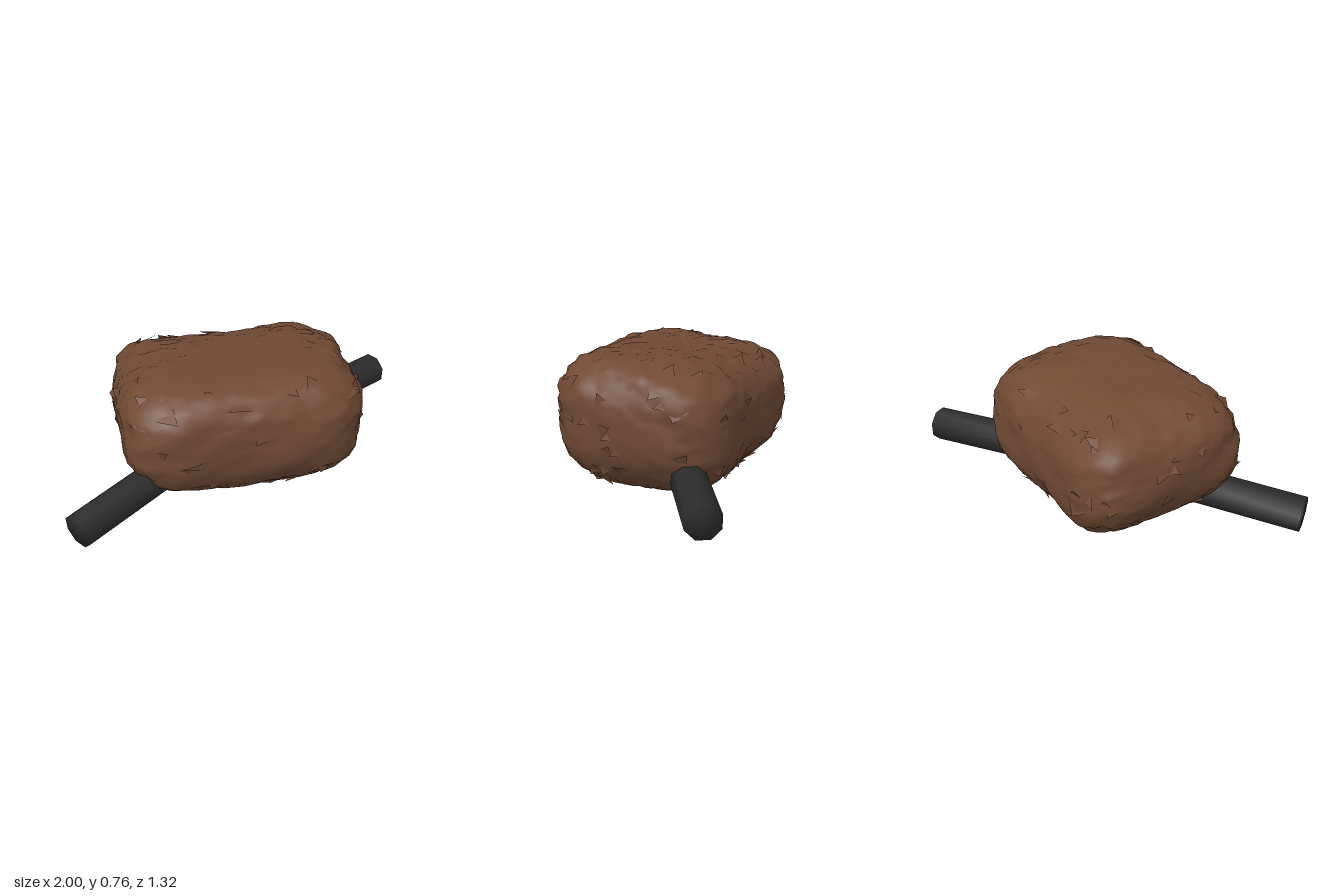
import * as THREE from 'three';
import { mergeVertices } from 'three/addons/utils/BufferGeometryUtils.js';

const UP = new THREE.Vector3(0, 1, 0);

// Small seeded random number generator
function seeded(seed) {
  let s = seed;
  return () => (s = (s * 16807) % 2147483647) / 2147483647;
}

// Welds a geometry so its normals run smoothly over every edge
function weld(geometry) {
  geometry.deleteAttribute('normal');
  geometry.deleteAttribute('uv');
  return mergeVertices(geometry, 1e-4);
}

// Distance from the centre to a rounded block surface along direction d (unit block)
function blockRadius(d) {
  const m = d.y > 0 ? 3.7 : 2.2; // fuller top, tapering underside
  const n = d.x > 0 ? 3.6 : 4.3; // left end a little rounder
  const flat = Math.pow(Math.abs(d.x) ** n + Math.abs(d.z) ** n, 1 / n);
  return Math.pow(flat ** m + Math.abs(d.y) ** m, -1 / m);
}

// Maps a direction to a point on the lumpy block
function surfacePoint(d) {
  const { x, y, z } = d.clone().multiplyScalar(blockRadius(d));
  // Broad lumps, with shallow hollows in the middle of the sides
  const lump = 0.01 * Math.sin(5.3 * x + 2 * z + 1) * Math.cos(4.1 * y - 3 * z)
    + 0.008 * Math.sin(9 * x - 7 * y + 5 * z);
  const k = 0.99 + lump;
  const sideDip = 0.97 - (z < 0 ? 0.07 : 0.03) * Math.max(0, 1 - 2.5 * x * x);
  const endDip = 0.975 + 0.025 * Math.min(1, z * z);
  const topDip = 0.95 + 0.05 * Math.min(1, x * x);
  const high = Math.max(0, y);
  const low = Math.max(0, -y);
  const backSlope = z < 0 ? 1 - 0.18 * high ** 2.5 : 1; // top leans in at the back
  return new THREE.Vector3(
    -0.03 + x * 0.665 * k * endDip + 0.04 * low,
    0.415 + y * (y > 0 ? 0.364 * topDip : 0.405) * k + (0.025 * z + 0.008 * x) * high,
    -0.015 + z * 0.525 * k * sideDip * backSlope - 0.035 * low
  );
}

// Rough clod: a sphere pushed out to the block, with crumbly grain on its rims
function clodGeometry() {
  const rand = seeded(4711);
  const geo = weld(new THREE.IcosahedronGeometry(1, 15));
  const pos = geo.attributes.position;
  const d = new THREE.Vector3();
  for (let i = 0; i < pos.count; i++) {
    d.fromBufferAttribute(pos, i).normalize();
    const p = surfacePoint(d);
    const grain = 0.006 + 0.026 * Math.min(1, Math.max(0, blockRadius(d) - 1) * 3);
    p.addScaledVector(d, (rand() - 0.5) * grain);
    pos.setXYZ(i, p.x, Math.max(0.003, p.y), p.z);
  }
  geo.computeVertexNormals();
  return geo;
}

// Loose crumbs: small tilted triangles peeling off the surface
function crumbGeometry(count) {
  const rand = seeded(97);
  const points = [];
  for (let i = 0; i < count; i++) {
    const y = rand() * 1.6 - 0.8;
    const a = rand() * Math.PI * 2;
    const r = Math.sqrt(1 - y * y);
    const d = new THREE.Vector3(r * Math.cos(a), y, r * Math.sin(a));
    const size = 0.06 + rand() * 0.06;
    const turn = rand() * Math.PI * 2;
    const side = new THREE.Vector3().crossVectors(d, UP).normalize();
    const along = new THREE.Vector3().crossVectors(side, d);
    for (let k = 0; k < 3; k++) {
      const t = turn - k * 2.1;
      const corner = d.clone()
        .addScaledVector(side, Math.cos(t) * size)
        .addScaledVector(along, Math.sin(t) * size).normalize();
      points.push(surfacePoint(corner).addScaledVector(corner, k === 0 ? 0.02 : -0.003));
    }
  }
  const geo = new THREE.BufferGeometry().setFromPoints(points);
  geo.computeVertexNormals();
  return geo;
}

// Eight-sided rod between two points, flat side up and shaded softly over its ends
function rod(name, from, to, material) {
  const length = from.distanceTo(to);
  const geo = weld(new THREE.CylinderGeometry(0.095, 0.095, length, 8, 1, false, Math.PI / 8));
  geo.rotateX(Math.PI / 2);
  geo.computeVertexNormals();
  const mesh = new THREE.Mesh(geo, material);
  mesh.position.copy(from).add(to).multiplyScalar(0.5);
  mesh.lookAt(to);
  mesh.name = name;
  return mesh;
}

export function createModel() {
  const brown = new THREE.MeshStandardMaterial({ color: 0x704a34, side: THREE.DoubleSide });
  brown.name = 'earth brown';
  const black = new THREE.MeshStandardMaterial({ color: 0x2c2c2c });
  black.name = 'charcoal black';

  const model = new THREE.Group();
  model.name = 'clodOnRods';

  const clod = new THREE.Mesh(clodGeometry(), brown);
  clod.name = 'clod';
  const crumbs = new THREE.Mesh(crumbGeometry(80), brown);
  crumbs.name = 'crumbs';
  model.add(clod, crumbs);

  // Rods passing each other inside the clod and sticking out at opposite corners
  model.add(
    rod('leftRod', new THREE.Vector3(0, 0.225, -0.03), new THREE.Vector3(0.952, 0.18, -0.587), black),
    rod('rightRod', new THREE.Vector3(0, 0.265, -0.09), new THREE.Vector3(-0.945, 0.18, 0.583), black)
  );
  return model;
}
